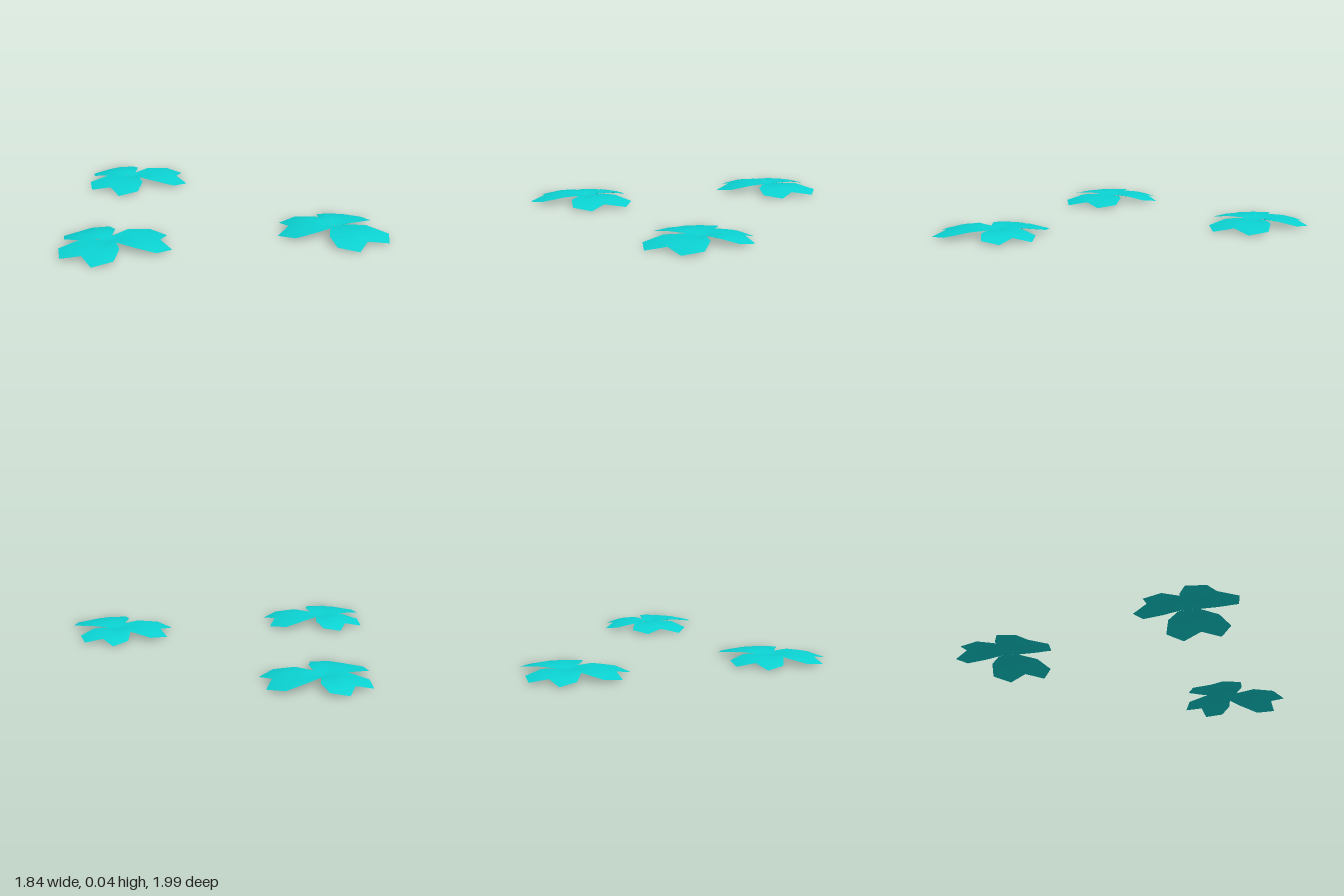
import * as THREE from 'three';

// Leaf outlines as [x, z] in hundredths, seen from above, fanning around the stem point
const LEAVES = {
  rightLeaf: [[3.2, -4.2], [14.2, -10], [28, -11.6], [34.8, -1.6], [26.9, 8.5], [29.6, 20.1], [18.5, 25.4], [8.4, 18.5], [1.6, 7.9]],
  frontLeaf: [[1.6, 7.9], [0, 18], [-6.9, 29], [-19.5, 29], [-21.1, 16.9], [-31.7, 11.6], [-29, 0], [-16.4, -3.2]],
  backLeaf: [[-14.2, -2.6], [-22.2, -12.7], [-19.5, -22.7], [-9, -21.1], [-1.6, -29], [7.9, -23.8], [7.9, -13.2], [3.2, -4.2]],
};
const RINGS = 6;

// Arched leaf: rings of the outline shrink toward the stem and follow a bowed height
function leafGeometry(outline) {
  const reach = Math.max(...outline.map(([x, z]) => Math.hypot(x, z)));
  const n = outline.length;
  const pos = [];
  const index = [];
  for (let r = 0; r <= RINGS; r++) {
    const s = r / RINGS;
    for (const [x, z] of outline) {
      const t = (s * Math.hypot(x, z)) / reach;
      pos.push(x * s / 100, 0.03 + 0.075 * t - 0.101 * t * t, z * s / 100);
    }
  }
  for (let r = 0; r < RINGS; r++) {
    for (let i = 0; i < n - 1; i++) {
      const a = r * n + i, b = a + 1, c = a + n, d = c + 1;
      index.push(b, c, d === c ? b : d);
      index.pop(); index.pop(); index.pop();
      index.push(b, d, c);
      if (r > 0) index.push(a, b, c);
    }
  }
  const geo = new THREE.BufferGeometry();
  geo.setAttribute('position', new THREE.Float32BufferAttribute(pos, 3));
  geo.setIndex(index);
  geo.computeVertexNormals();
  // the stem point has no area on some copies, so share one upward normal there
  for (let i = 0; i < n; i++) geo.attributes.normal.setXYZ(i, 0, 1, 0);
  return geo;
}

export function createModel() {
  const model = new THREE.Group();
  model.name = 'cloverPatch';
  const teal = new THREE.MeshStandardMaterial({ color: 0x0bd3d3, side: THREE.DoubleSide });
  teal.name = 'teal';

  const parts = Object.entries(LEAVES).map(([name, outline]) => [name, leafGeometry(outline)]);

  // Three clovers: x, z, turn in degrees
  const places = [[-0.092, -0.709, 0], [-0.61, 0.381, 0], [0.665, 0.64, -63]];
  places.forEach(([x, z, turn], i) => {
    const clover = new THREE.Group();
    clover.name = `clover${i + 1}`;
    for (const [name, geo] of parts) {
      const leaf = new THREE.Mesh(geo, teal);
      leaf.name = name;
      clover.add(leaf);
    }
    clover.position.set(x, 0, z);
    clover.rotation.y = THREE.MathUtils.degToRad(turn);
    model.add(clover);
  });
  return model;
}
